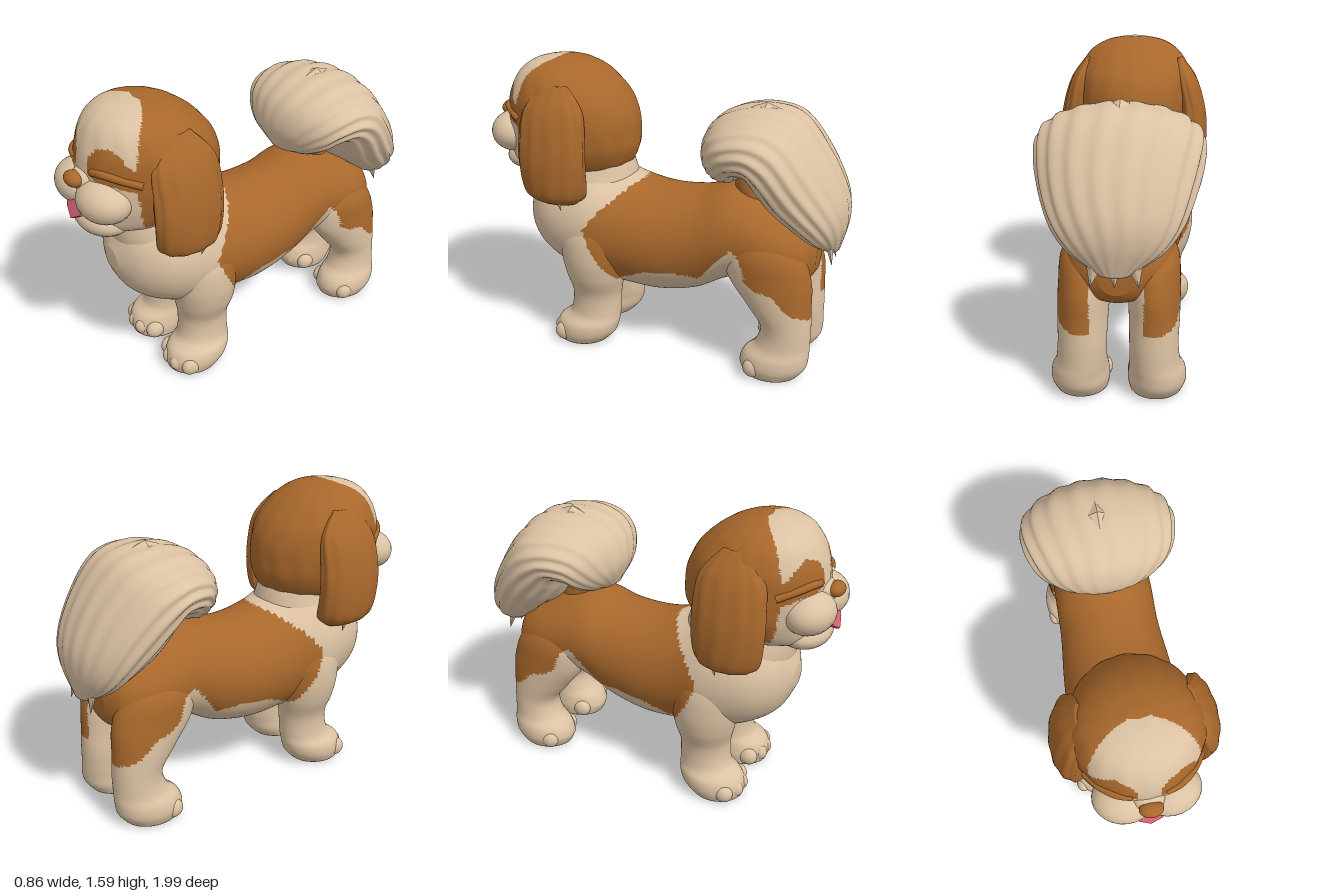
import * as THREE from 'three';

const mat = (name, color) => Object.assign(new THREE.MeshStandardMaterial({ color }), { name });

// Catmull-Rom resampling of a list of equally long number rows
function smoothRows(rows, steps) {
  const out = [], last = rows.length - 1;
  for (let i = 0; i < last; i++) {
    const [a, b, c, d] = [rows[Math.max(i - 1, 0)], rows[i], rows[i + 1], rows[Math.min(i + 2, last)]];
    for (let s = 0; s < steps; s++) {
      const t = s / steps;
      out.push(b.map((p, k) => {
        const cubic = 3 * (p - c[k]) + d[k] - a[k];
        const square = 2 * a[k] - 5 * p + 4 * c[k] - d[k];
        return p + 0.5 * t * (c[k] - a[k] + t * (square + t * cubic));
      }));
    }
  }
  out.push(rows[last]);
  return out;
}

// Closed skin over elliptical sections; frame(row) gives centre and two half axes.
// locks ripples the surface into hair strands; isSecond(x, y, z) picks group 1.
function loft(rows, frame, { steps = 8, around = 64, locks = 0, count = 14, isSecond = () => false } = {}) {
  const pos = [], groups = [[], []], rings = smoothRows(rows, steps);
  rings.forEach((row, i) => {
    const [c, u, v] = frame(row);
    for (let j = 0; j < around; j++) {
      const a = (j / around) * Math.PI * 2;
      const r = 1 + locks * Math.cos(count * a + 0.8 * Math.sin(i * 0.22));
      for (let k = 0; k < 3; k++) pos.push(c[k] + r * (u[k] * Math.cos(a) + v[k] * Math.sin(a)));
    }
  });
  const end = rings.length - 1, n = around;
  pos.push(...frame(rings[0])[0], ...frame(rings[end])[0]);
  const tri = (...t) => {
    const mid = [0, 1, 2].map((k) => t.reduce((sum, p) => sum + pos[p * 3 + k], 0) / 3);
    groups[isSecond(...mid) ? 1 : 0].push(...t);
  };
  const capA = rings.length * n;
  for (let j = 0; j < n; j++) {
    const k = (j + 1) % n;
    tri(capA, k, j);
    tri(capA + 1, end * n + j, end * n + k);
    for (let i = 0; i < end; i++) {
      const a = i * n + j, b = i * n + k;
      tri(a, b, a + n);
      tri(b, b + n, a + n);
    }
  }
  const g = new THREE.BufferGeometry();
  g.setAttribute('position', new THREE.Float32BufferAttribute(pos, 3));
  g.setIndex([...groups[0], ...groups[1]]);
  g.addGroup(0, groups[0].length, 0);
  g.addGroup(groups[0].length, groups[1].length, 1);
  g.computeVertexNormals();
  return g;
}

// Section layouts
const alongZ = ([z, cy, rx, ry]) => [[0, cy, z], [rx, 0, 0], [0, ry, 0]];
const alongY = ([y, cx, cz, rx, rz]) => [[cx, y, cz], [0, 0, rz], [rx, 0, 0]];
const arched = ([oz, oy, iz, iy, rx]) =>
  [[0, (oy + iy) / 2, (oz + iz) / 2], [-rx, 0, 0], [0, (oy - iy) / 2, (oz - iz) / 2]];

function inside(poly, a, b) {
  let hit = false;
  poly.forEach(([x1, y1], i) => {
    const [x2, y2] = poly[(i + 1) % poly.length];
    if ((y1 > b) !== (y2 > b) && a < ((x2 - x1) * (b - y1)) / (y2 - y1) + x1) hit = !hit;
  });
  return hit;
}

// Saddle patch outline in (z, y) and eye patch outline in (|x|, y)
const saddle = [[0.21, 0.42], [0.32, 0.6], [0.37, 0.72], [0.3, 0.82], [0.17, 0.93], [0.11, 0.96], [0.1, 1.3],
  [-1, 1.3], [-1, 0.36], [-0.85, 0.36], [-0.76, 0.4], [-0.66, 0.5], [-0.58, 0.51], [-0.52, 0.55], [-0.49, 0.66],
  [-0.43, 0.7], [-0.36, 0.63], [-0.26, 0.5], [-0.12, 0.52], [0.06, 0.5]];
const eyePatch = [[0.05, 1.3], [0.05, 1.37], [0.09, 1.43], [0.15, 1.45], [0.21, 1.42], [0.26, 1.36], [0.34, 1.34],
  [0.34, 1.22], [0.27, 1.24], [0.2, 1.27], [0.12, 1.28]];
const onSaddle = (x, y, z) => inside(saddle, z, y);
const onOuterLeg = (x, y, z) => Math.abs(x) > 0.13 && onSaddle(x, y, z);
const onHeadBrown = (x, y, z) => (y < 1.02 ? z < 0.5 : z < Math.min(0.6 + 2.2 * x * x, 0.76))
  || (z > 0.6 && inside(eyePatch, Math.abs(x), y));

export function createModel() {
  const root = new THREE.Group();
  root.name = 'dog';
  const cream = mat('cream fur', 0xdcc2a3), brown = mat('brown fur', 0xa9682c), pink = mat('tongue pink', 0xdb6477);
  const add = (name, geo, material, p = [0, 0, 0], r = [0, 0, 0]) => {
    const m = new THREE.Mesh(geo, material);
    m.name = name;
    m.position.set(...p);
    m.rotation.set(...r);
    root.add(m);
    return m;
  };
  const blob = (name, material, p, s, r) =>
    add(name, new THREE.SphereGeometry(1, 24, 16), material, p, r).scale.set(...s);
  const tuft = (name, material, p, r, len, rad) =>
    add(name, new THREE.ConeGeometry(rad, len, 5), material, p, r).scale.set(1, 1, 0.5);

  // Trunk and neck
  add('body', loft([[-0.845, 0.64, 0.08, 0.08], [-0.79, 0.66, 0.2, 0.16], [-0.65, 0.69, 0.265, 0.21],
    [-0.4, 0.72, 0.275, 0.26], [-0.2, 0.65, 0.28, 0.29], [0, 0.625, 0.3, 0.305], [0.2, 0.65, 0.315, 0.32],
    [0.4, 0.7, 0.34, 0.35], [0.6, 0.73, 0.31, 0.3], [0.73, 0.73, 0.21, 0.2], [0.8, 0.73, 0.06, 0.06]],
  alongZ, { steps: 10, around: 96, isSecond: onSaddle }), [cream, brown]);
  add('neck', loft([[0.72, 0, 0.47, 0.3, 0.28], [0.88, 0, 0.48, 0.27, 0.3], [1, 0, 0.49, 0.23, 0.29],
    [1.12, 0, 0.5, 0.2, 0.26]], alongY), cream);

  for (const side of [1, -1]) {
    const label = side > 0 ? 'left' : 'right';
    const flip = (rows) => rows.map(([y, cx, ...rest]) => [y, cx * side, ...rest]);

    // Legs with toes and soles
    const legs = {
      FrontLeg: [[0.005, 0.185, 0.45, 0.135, 0.145], [0.06, 0.19, 0.43, 0.15, 0.175], [0.12, 0.19, 0.41, 0.145, 0.175],
        [0.18, 0.175, 0.375, 0.125, 0.145], [0.3, 0.17, 0.365, 0.125, 0.14], [0.42, 0.19, 0.365, 0.148, 0.165],
        [0.55, 0.2, 0.37, 0.157, 0.18], [0.7, 0.2, 0.38, 0.135, 0.17], [0.82, 0.18, 0.4, 0.05, 0.06]],
      HindLeg: [[0.005, 0.185, -0.66, 0.13, 0.15], [0.06, 0.19, -0.67, 0.145, 0.18], [0.12, 0.19, -0.685, 0.14, 0.175],
        [0.18, 0.18, -0.715, 0.125, 0.145], [0.28, 0.175, -0.725, 0.12, 0.135], [0.4, 0.175, -0.68, 0.125, 0.175],
        [0.55, 0.17, -0.62, 0.13, 0.225], [0.7, 0.16, -0.58, 0.125, 0.2], [0.84, 0.14, -0.55, 0.05, 0.06]],
    };
    for (const [leg, rows] of Object.entries(legs)) {
      add(label + leg, loft(flip(rows), alongY, { steps: 9, isSecond: onOuterLeg }), [cream, brown]);
      const [, cx, cz, rx, rz] = rows[0];
      const sole = add(label + leg + 'Sole', new THREE.CircleGeometry(1, 20), brown, [cx * side, 0, cz], [Math.PI / 2, 0, 0]);
      sole.scale.set(rx * 0.95, rz * 0.95, 1);
      [-0.105, -0.036, 0.036, 0.105].forEach((dx, i) =>
        blob(label + leg + 'Toe', cream, [(cx + dx) * side, 0.058, cz + (i % 3 ? 0.108 : 0.075)], [0.041, 0.052, 0.055]));
    }

    // Hanging ear with a pale fringe
    add(label + 'Ear', loft(flip([[0.855, 0.29, 0.52, 0.06, 0.1], [0.91, 0.31, 0.525, 0.105, 0.165],
      [1.05, 0.335, 0.53, 0.095, 0.185], [1.2, 0.33, 0.53, 0.085, 0.185], [1.36, 0.3, 0.53, 0.065, 0.165],
      [1.48, 0.26, 0.53, 0.02, 0.07]]), alongY, { locks: 0.025, count: 11 }), brown);
    tuft(label + 'EarFringe', cream, [0.365 * side, 0.875, 0.48], [Math.PI, 0, 0.2 * side], 0.1, 0.035);

    // Jowl and closed eyelid
    blob(label + 'Jowl', cream, [0.12 * side, 1.17, 0.865], [0.15, 0.11, 0.125], [0, 0.25 * side, 0]);
    const lid = new THREE.CatmullRomCurve3([[0.08, 1.315, 0.895], [0.15, 1.325, 0.875], [0.22, 1.31, 0.82],
      [0.28, 1.28, 0.74]].map(([x, y, z]) => new THREE.Vector3(x * side, y, z)));
    add(label + 'Eyelid', new THREE.TubeGeometry(lid, 16, 0.02, 8), brown);
  }

  // Head with brown mask and pale blaze
  add('head', loft([[0.935, 0, 0.6, 0.12, 0.2], [1, 0, 0.575, 0.24, 0.33], [1.1, 0, 0.555, 0.3, 0.37],
    [1.2, 0, 0.55, 0.325, 0.37], [1.3, 0, 0.555, 0.33, 0.36], [1.4, 0, 0.57, 0.32, 0.325], [1.5, 0, 0.595, 0.265, 0.25],
    [1.56, 0, 0.61, 0.175, 0.16], [1.588, 0, 0.61, 0.06, 0.05]],
  alongY, { steps: 10, around: 112, locks: 0.006, count: 16, isSecond: onHeadBrown }), [cream, brown]);

  // Muzzle, nose and mouth
  blob('muzzleBridge', cream, [0, 1.245, 0.88], [0.085, 0.065, 0.085]);
  blob('chin', cream, [0, 1.015, 0.82], [0.18, 0.085, 0.135]);
  blob('nose', brown, [0, 1.262, 0.955], [0.06, 0.038, 0.043]);
  blob('mouth', brown, [0, 1.11, 0.875], [0.08, 0.05, 0.08]);
  const kite = new THREE.Shape([[0, 0.05], [-0.08, 0.015], [-0.06, -0.02], [0, -0.06], [0.06, -0.02], [0.08, 0.015]]
    .map(([x, y]) => new THREE.Vector2(x, y)));
  add('tongue', new THREE.ExtrudeGeometry(kite, { depth: 0.02, bevelEnabled: false }), pink, [0, 1.1, 0.95], [-0.4, 0, 0]);

  // Plumed tail curling over the back
  add('tailBase', loft([[0.85, 0, -0.52, 0.1, 0.12], [1, 0, -0.47, 0.09, 0.09], [1.12, 0, -0.47, 0.07, 0.07]], alongY), brown);
  add('tailPlume', loft([[-0.25, 1.04, -0.33, 1, 0.06], [-0.21, 1.17, -0.36, 1, 0.2], [-0.25, 1.3, -0.4, 1.02, 0.31],
    [-0.36, 1.38, -0.43, 1.06, 0.37], [-0.53, 1.41, -0.5, 1.06, 0.4], [-0.71, 1.37, -0.54, 0.98, 0.4],
    [-0.86, 1.2, -0.6, 0.9, 0.37], [-0.965, 1, -0.7, 0.82, 0.31], [-0.985, 0.85, -0.8, 0.74, 0.22],
    [-0.95, 0.69, -0.87, 0.69, 0.07]], arched, { around: 112, locks: 0.022, count: 18 }), cream);
  add('tailCrest', new THREE.OctahedronGeometry(0.07), cream, [0, 1.4, -0.53]).scale.set(0.9, 0.45, 1.2);
  for (const x of [-0.1, 0, 0.1])
    tuft('tailWisp', cream, [x, 0.7, -0.92], [Math.PI + 0.2, 0, -x * 2], 0.13, 0.05);

  return root;
}
